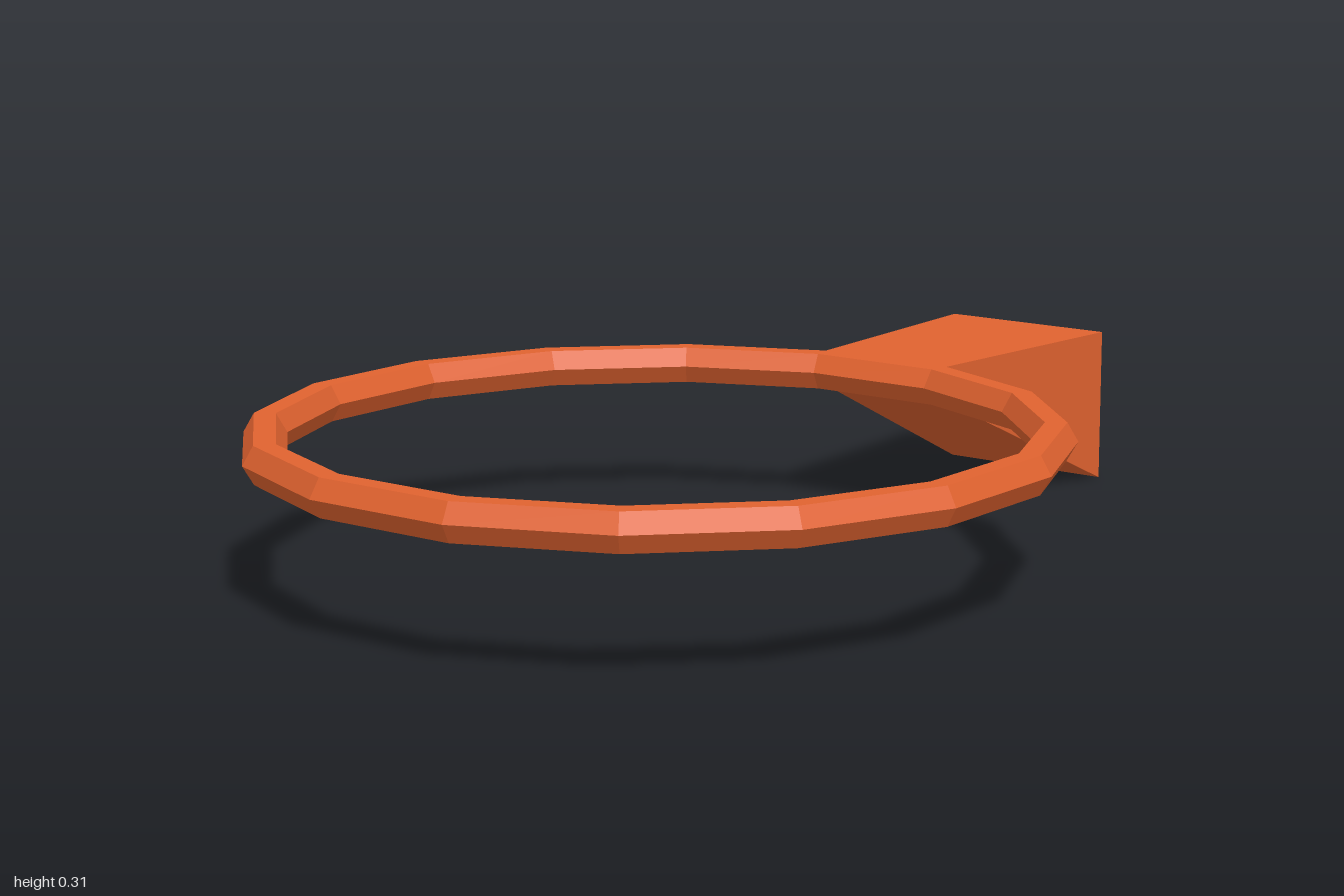
import * as THREE from 'three';

const SIDES = 16;
const RING_Y = 0.275;
const RING_Z = 0.25;
const TUBE = 0.0408;
const HALF_HEIGHT = TUBE * Math.sin(Math.PI / 3);
const TOP = RING_Y + HALF_HEIGHT;

export function createModel() {
  const group = new THREE.Group();
  const material = new THREE.MeshStandardMaterial({ color: 0xe0622f, flatShading: true });

  // Sixteen-sided hoop with a hexagonal section, a flat side facing the back
  const ringGeometry = new THREE.TorusGeometry(0.724, TUBE, 6, SIDES);
  ringGeometry.rotateZ(Math.PI / SIDES).rotateX(Math.PI / 2);
  const ring = new THREE.Mesh(ringGeometry, material);
  ring.name = 'ring';
  ring.position.set(0, RING_Y, RING_Z);
  group.add(ring);

  // Wedge bracket: widens and deepens from the hoop to the back plate
  const bracketGeometry = new THREE.BoxGeometry(1, 1, 1);
  const p = bracketGeometry.attributes.position;
  for (let i = 0; i < p.count; i++) {
    const atRing = p.getZ(i) > 0;
    const right = p.getX(i) > 0;
    const x = atRing ? (right ? 0.146 : -0.146) : (right ? 0.19 : -0.178);
    const bottom = atRing ? RING_Y - HALF_HEIGHT : 0;
    p.setXYZ(i, x, p.getY(i) > 0 ? TOP : bottom, atRing ? -0.48 : -1);
  }
  bracketGeometry.computeVertexNormals();
  const bracket = new THREE.Mesh(bracketGeometry, material);
  bracket.name = 'mountingBracket';
  group.add(bracket);

  return group;
}
